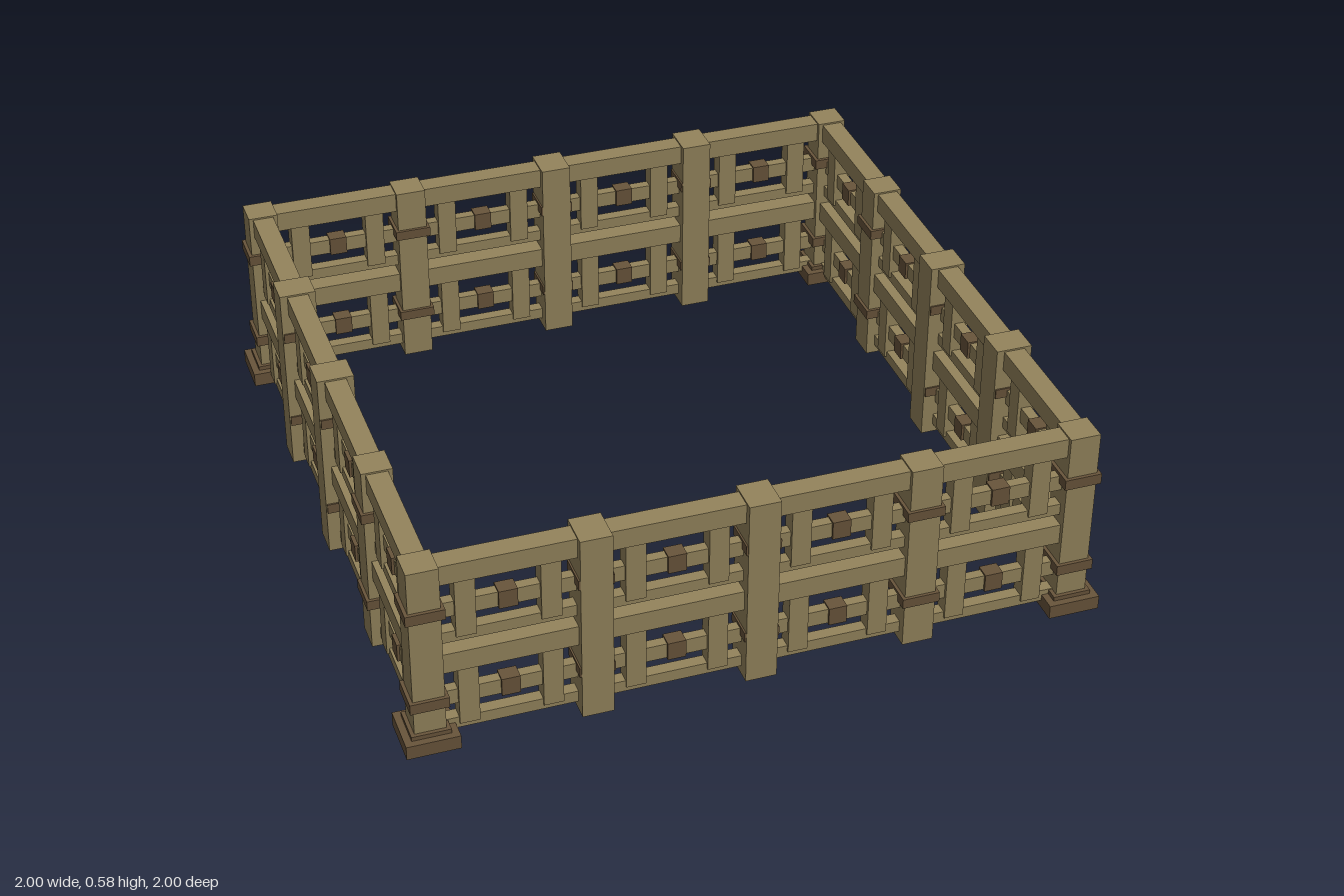
import * as THREE from 'three';

const mat = (name, color) => {
  const m = new THREE.MeshStandardMaterial({ color });
  m.name = name;
  return m;
};

export function createModel() {
  const wood = mat('wood', 0x94845c);
  const darkWood = mat('darkWood', 0x69553b);
  const EDGE = 0.925; // distance of each fence line from the centre

  // Box spanning y0..y1, centred on x and z
  const box = (parent, name, material, w, y0, y1, d, x = 0, z = 0) => {
    const mesh = new THREE.Mesh(new THREE.BoxGeometry(w, y1 - y0, d), material);
    mesh.name = name;
    mesh.position.set(x, (y0 + y1) / 2, z);
    parent.add(mesh);
  };

  // One side of the fence, with its corner post at +x
  const createSide = () => {
    const side = new THREE.Group();
    const span = 2 * EDGE;

    // Long rails
    box(side, 'topRail', wood, span, 0.52, 0.58, 0.062);
    box(side, 'middleRail', wood, span, 0.23, 0.292, 0.06);
    box(side, 'upperThinRail', wood, span, 0.32, 0.355, 0.036);
    box(side, 'bottomThinRail', wood, span, 0.028, 0.063, 0.036);

    // Two tiers of lattice: cross bar, slats and dark joint blocks
    for (const y of [0, 0.292]) {
      box(side, 'crossBar', wood, span, y + 0.11, y + 0.157, 0.03);
      for (const x of [-0.695, -0.232, 0.232, 0.695]) {
        box(side, 'jointBlock', darkWood, 0.052, y + 0.107, y + 0.162, 0.045, x);
        for (const s of [-1, 1]) {
          box(side, 'slat', wood, 0.056, y + 0.045, y + 0.235, 0.05, x + s * 0.116);
        }
      }
    }

    // Intermediate posts; two of them are deep enough to cover the band faces
    for (const x of [-0.464, 0, 0.464]) {
      const deep = x < 0.4;
      box(side, 'post', wood, 0.09, 0, 0.585, deep ? 0.106 : 0.088, x);
      for (const y of [0.135, 0.427]) {
        box(side, 'postBand', darkWood, deep ? 0.1 : 0.108, y, y + 0.03, deep ? 0.1 : 0.106, x);
      }
    }

    // Corner post with stepped foot and bands
    box(side, 'cornerPost', wood, 0.088, 0.01, 0.585, 0.088, EDGE);
    box(side, 'cornerFoot', darkWood, 0.15, 0.005, 0.047, 0.15, EDGE);
    box(side, 'footStep', darkWood, 0.11, 0.045, 0.06, 0.11, EDGE);
    for (const y of [0.135, 0.427]) {
      box(side, 'cornerBand', darkWood, 0.108, y, y + 0.032, 0.108, EDGE);
    }
    return side;
  };

  // Four sides turned around the square
  const model = new THREE.Group();
  model.name = 'woodenFence';
  ['front', 'left', 'back', 'right'].forEach((label, i) => {
    const side = createSide();
    side.name = label + 'Side';
    side.rotation.y = (i * Math.PI) / 2;
    side.position.set(Math.sin(side.rotation.y) * EDGE, 0, Math.cos(side.rotation.y) * EDGE);
    model.add(side);
  });
  return model;
}
